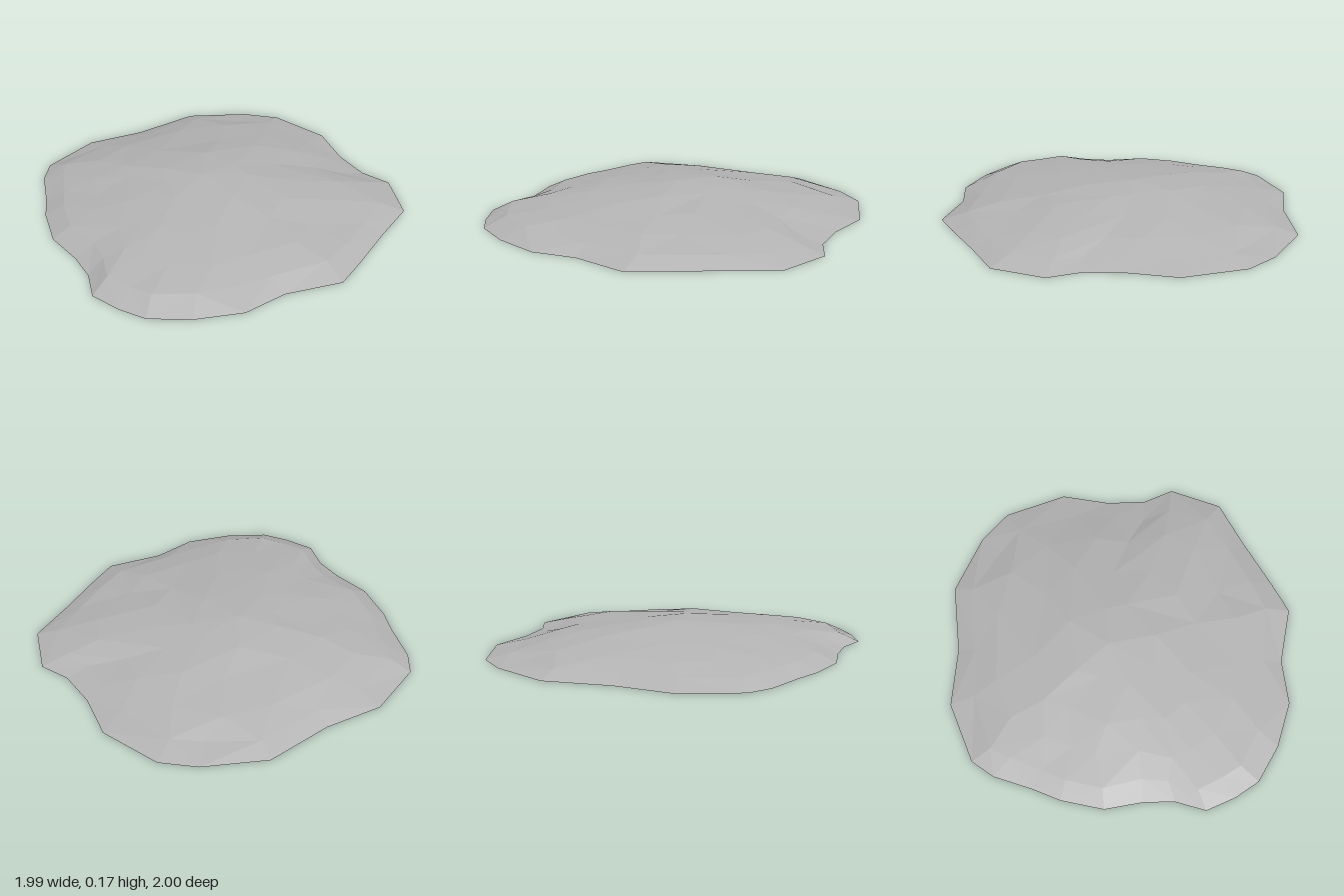
import * as THREE from 'three';

// Ground outline of the mound as [x, z] points
const RIM = [
  [0.99, -0.09], [0.89, 0.21], [0.89, 0.46], [0.78, 0.70], [0.64, 0.88], [0.50, 0.95], [0.33, 1.0],
  [0.17, 0.93], [0, 0.91], [-0.22, 0.92], [-0.45, 0.84], [-0.59, 0.76], [-0.80, 0.66], [-0.91, 0.56],
  [-1.0, 0.22], [-0.93, -0.10], [-0.92, -0.48], [-0.73, -0.78], [-0.57, -0.92], [-0.22, -1.0],
  [0.04, -0.92], [0.26, -0.90], [0.43, -0.95], [0.70, -0.81], [0.80, -0.55], [0.92, -0.27],
];
const PEAK = [-0.08, 0.165, 0.03];

// Inner rings: distance from peak to rim, point count, height on the gentle back and the steep front
const RINGS = [
  { t: 0.87, n: 26, back: 0.031, front: 0.054 },
  { t: 0.70, n: 20, back: 0.075, front: 0.088 },
  { t: 0.48, n: 14, back: 0.117, front: 0.118 },
  { t: 0.24, n: 8, back: 0.148, front: 0.144 },
];

function seeded(seed) {
  return () => {
    seed = (seed * 16807) % 2147483647;
    return (seed / 2147483647) * 2 - 1;
  };
}

// Point on the outline for u in 0..1
function rimAt(u) {
  const s = (((u % 1) + 1) % 1) * RIM.length;
  const i = Math.floor(s) % RIM.length;
  const a = RIM[i], b = RIM[(i + 1) % RIM.length], f = s - Math.floor(s);
  return [a[0] + (b[0] - a[0]) * f, a[1] + (b[1] - a[1]) * f];
}

function makeRing({ t, n, back, front }, rand) {
  return Array.from({ length: n }, (_, i) => {
    const u = (i + 0.2 * rand()) / n;
    const [rx, rz] = rimAt(u);
    const dx = rx - PEAK[0], dz = rz - PEAK[2];
    const steep = 0.5 + 0.5 * (0.35 * dx + 0.94 * dz) / Math.hypot(dx, dz);
    const s = t + 0.025 * rand();
    const y = back + (front - back) * steep + 0.004 * rand();
    return { u, p: [PEAK[0] + dx * s, y, PEAK[2] + dz * s] };
  });
}

// Triangles between two rings that may differ in point count
function stitch(outer, inner, out) {
  const at = (ring, i) => ring[i % ring.length];
  const along = (ring, i) => at(ring, i).u + Math.floor(i / ring.length);
  let i = 0, j = 0;
  while (i < outer.length || j < inner.length) {
    const stepOuter = j >= inner.length ||
      (i < outer.length && along(outer, i + 1) <= along(inner, j + 1));
    const a = at(outer, i).p, b = at(inner, j).p;
    if (stepOuter) out.push(...a, ...b, ...at(outer, ++i).p);
    else out.push(...a, ...b, ...at(inner, ++j).p);
  }
}

export function createModel() {
  const group = new THREE.Group();
  group.name = 'rockMound';
  const stone = new THREE.MeshStandardMaterial({
    name: 'stoneGrey', color: 0xb4b4b4, flatShading: true, side: THREE.DoubleSide,
  });

  const rand = seeded(4711);
  const rings = [
    RIM.map(([x, z], i) => ({ u: i / RIM.length, p: [x, 0, z] })),
    ...RINGS.map((r) => makeRing(r, rand)),
  ];
  const positions = [];
  for (let k = 0; k + 1 < rings.length; k++) stitch(rings[k], rings[k + 1], positions);

  // Cap fan around the peak
  const top = rings[rings.length - 1];
  top.forEach((v, i) => positions.push(...v.p, ...PEAK, ...top[(i + 1) % top.length].p));

  const geometry = new THREE.BufferGeometry();
  geometry.setAttribute('position', new THREE.Float32BufferAttribute(positions, 3));
  geometry.computeVertexNormals();

  const shell = new THREE.Mesh(geometry, stone);
  shell.name = 'moundSurface';
  group.add(shell);
  return group;
}
